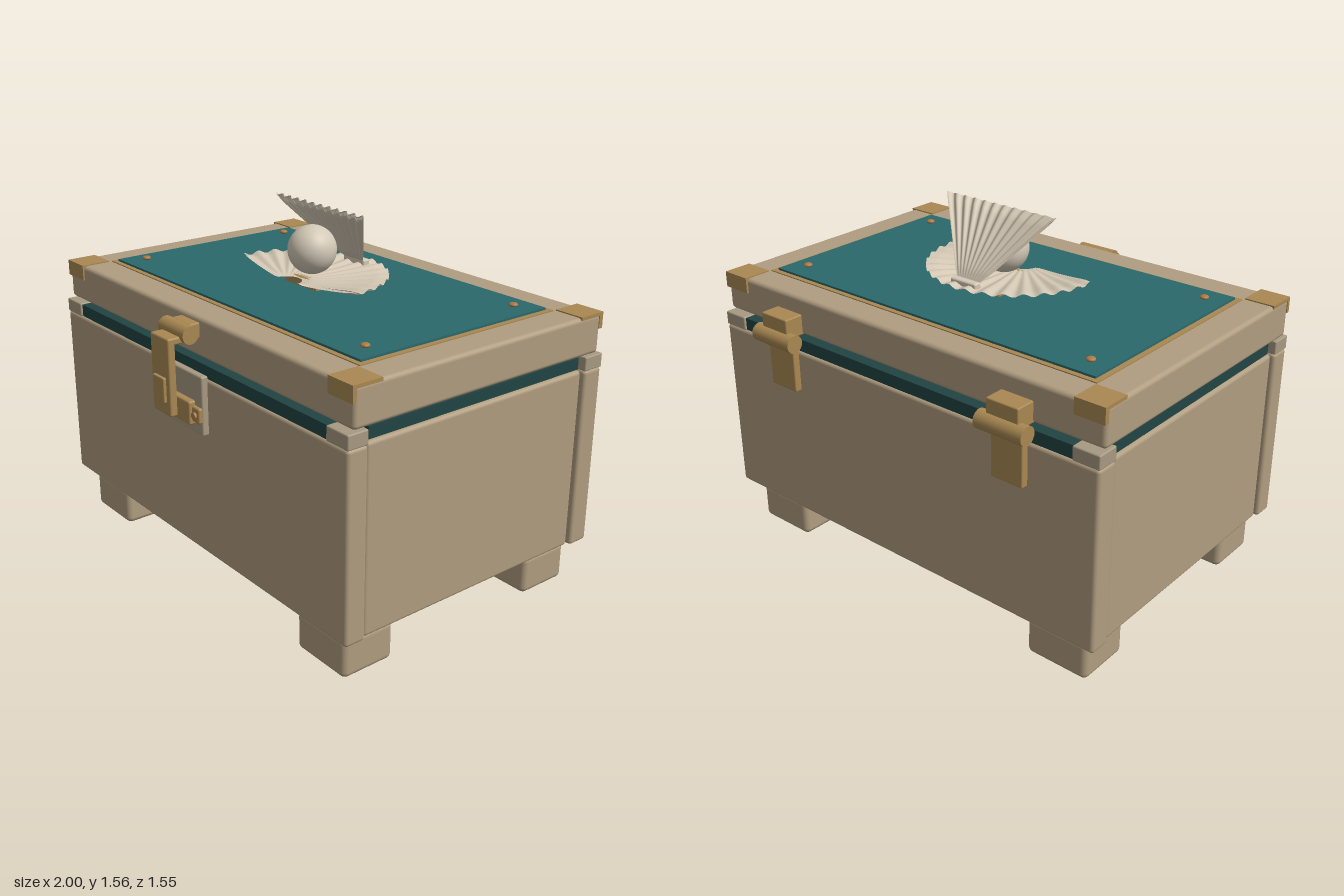
import * as THREE from 'three';
import { RoundedBoxGeometry } from 'three/addons/geometries/RoundedBoxGeometry.js';
import { ParametricGeometry } from 'three/addons/geometries/ParametricGeometry.js';

function mat(name, color, side = THREE.FrontSide) {
  const m = new THREE.MeshStandardMaterial({ color, side });
  m.name = name;
  return m;
}

export function createModel() {
  const root = new THREE.Group();
  root.name = 'jewelleryChest';
  const wood = mat('wood', 0xb09d80);
  const stone = mat('paleFitting', 0xa89a82);
  const brass = mat('brass', 0xa98852);
  const copper = mat('copper', 0xab7a45);
  const teal = mat('tealPanel', 0x2b686a);
  const lining = mat('darkLining', 0x204443);
  const shell = mat('shell', 0xd4c8b4, THREE.DoubleSide);
  const pearl = mat('pearl', 0xd2c8b6);

  function add(name, geo, material, x = 0, y = 0, z = 0) {
    const m = new THREE.Mesh(geo, material);
    m.name = name;
    m.position.set(x, y, z);
    root.add(m);
    return m;
  }
  // Box given by its extents; r rounds the edges
  function box(name, material, x0, x1, y0, y1, z0, z1, r = 0) {
    const w = x1 - x0, h = y1 - y0, d = z1 - z0;
    const geo = r ? new RoundedBoxGeometry(w, h, d, 3, r) : new THREE.BoxGeometry(w, h, d);
    return add(name, geo, material, (x0 + x1) / 2, (y0 + y1) / 2, (z0 + z1) / 2);
  }
  // Box mirrored to the other side of x = 0
  function pair(name, material, x0, x1, ...rest) {
    box(name + 'Left', material, x0, x1, ...rest);
    box(name + 'Right', material, -x1, -x0, ...rest);
  }
  // Cylinder lying along x
  function barrel(name, material, r, len, x, y, z) {
    const m = add(name, new THREE.CylinderGeometry(r, r, len, 24), material, x, y, z);
    m.rotation.z = Math.PI / 2;
    return m;
  }

  // Chest body
  box('frontPanel', wood, -1, 1, 0.195, 0.98, 0.545, 0.64, 0.016);
  box('backPanel', wood, -1, 1, 0.195, 0.98, -0.69, -0.59, 0.016);
  pair('sidePanel', wood, 0.9, 0.985, 0.195, 0.98, -0.587, 0.542, 0.016);
  box('basePlate', wood, -0.92, 0.92, 0.16, 0.22, -0.59, 0.545, 0.01);
  pair('frontFoot', wood, 0.645, 0.933, 0, 0.17, 0.345, 0.59, 0.026);
  pair('backFoot', wood, 0.645, 0.933, 0, 0.17, -0.635, -0.39, 0.026);

  // Rim lining and corner blocks
  box('frontLining', lining, -0.88, 0.88, 0.975, 1.033, 0.56, 0.63);
  box('backLining', lining, -0.88, 0.88, 0.975, 1.033, -0.68, -0.61);
  pair('sideLining', lining, 0.91, 0.975, 0.985, 1.033, -0.575, 0.525);
  pair('frontCornerBlock', stone, 0.88, 1, 0.978, 1.038, 0.545, 0.64, 0.006);
  pair('backCornerBlock', stone, 0.88, 1, 0.978, 1.038, -0.69, -0.59, 0.006);

  // Lid with trim, inlay and rivets
  box('lid', wood, -1, 1, 1.045, 1.21, -0.66, 0.615, 0.018);
  box('lidTrim', brass, -0.865, 0.865, 1.2, 1.214, -0.532, 0.475);
  box('lidInlay', teal, -0.842, 0.842, 1.205, 1.223, -0.51, 0.453);
  for (const x of [-0.755, 0.755]) for (const z of [-0.418, 0.357]) {
    add('rivet', new THREE.SphereGeometry(0.019, 16, 12), copper, x, 1.232, z).scale.y = 0.5;
  }

  // Brass corner brackets on the lid
  pair('frontBracketTop', brass, 0.868, 1.001, 1.2, 1.215, 0.488, 0.622);
  pair('frontBracketFace', brass, 0.868, 1.001, 1.147, 1.214, 0.605, 0.622);
  pair('backBracketTop', brass, 0.868, 1.001, 1.2, 1.215, -0.67, -0.543);
  pair('backBracketFace', brass, 0.868, 1.001, 1.147, 1.214, -0.67, -0.65);

  // Clasp
  box('claspPlate', stone, -0.147, 0.147, 0.745, 0.997, 0.635, 0.668, 0.008);
  box('claspCatch', brass, -0.097, 0.097, 0.785, 0.885, 0.66, 0.697, 0.008);
  box('claspEars', brass, -0.145, 0.145, 0.8, 0.866, 0.66, 0.684, 0.008);
  for (const x of [-0.118, 0.118]) {
    const s = add('claspScrew', new THREE.CylinderGeometry(0.014, 0.014, 0.012, 16), copper, x, 0.832, 0.688);
    s.rotation.x = Math.PI / 2;
  }
  barrel('claspBarrel', brass, 0.037, 0.18, 0, 1.155, 0.672);
  box('claspMount', brass, -0.065, 0.065, 1.125, 1.19, 0.61, 0.66, 0.006);
  box('claspArm', brass, -0.065, 0.065, 1.12, 1.15, 0.675, 0.762, 0.008);
  box('claspHasp', brass, -0.065, 0.065, 0.825, 1.148, 0.728, 0.762, 0.008);
  box('claspKnob', brass, -0.04, 0.04, 0.88, 0.985, 0.755, 0.775, 0.005);

  // Back hinges
  for (const x of [-0.61, 0.61]) {
    box('hingeBlock', brass, x - 0.075, x + 0.075, 1.045, 1.135, -0.745, -0.65, 0.006);
    box('hingeLeaf', brass, x - 0.075, x + 0.075, 0.8, 1.035, -0.72, -0.685, 0.006);
    barrel('hingeBarrel', brass, 0.039, 0.222, x, 1.036, -0.736);
  }

  // Shell ornament: mount and pearl
  box('shellMount', brass, -0.105, 0.105, 1.215, 1.262, -0.158, 0.066, 0.006);
  add('pearl', new THREE.SphereGeometry(0.104, 40, 28), pearl, 0, 1.37, 0.002);

  // Thin closed fan: v runs out along the top face and back along the underside
  function fan(name, place) {
    const geo = new ParametricGeometry((u, v, p) => {
      const t = 1 - Math.abs(2 * v - 1);
      const edge = Math.min(1, 10 * t, 10 * (1 - t));
      place(u, t, (v < 0.5 ? 0.005 : -0.005) * edge, p);
    }, 132, 24);
    add(name, geo, shell);
  }
  const ripple = (u, t, n) => 0.007 * t * Math.cos(u * n * Math.PI * 2);

  // Lower valve: ribbed fan lying on the lid, opening backwards
  fan('lowerValve', (u, t, h, p) => {
    const a = THREE.MathUtils.degToRad(8 + 164 * u);
    const r = (0.065 + (0.375 + 0.065 * Math.sin(a) - 0.065) * t);
    p.set(Math.cos(a) * r, 1.258 + 0.022 * t * t + ripple(u, t, 15) + h, 0.138 - Math.sin(a) * r);
  });

  // Upper valve: ribbed trapezoid leaning forward over the pearl
  fan('upperValve', (u, t, h, p) => {
    const n = ripple(u, t, 11) + h;
    p.set((2 * u - 1) * (0.06 + 0.23 * t), 1.292 + 0.266 * t + 0.61 * n, -0.226 + 0.206 * t - 0.79 * n);
  });
  box('valveHinge', shell, -0.067, 0.067, 1.262, 1.298, -0.262, -0.225, 0.008);

  return root;
}
